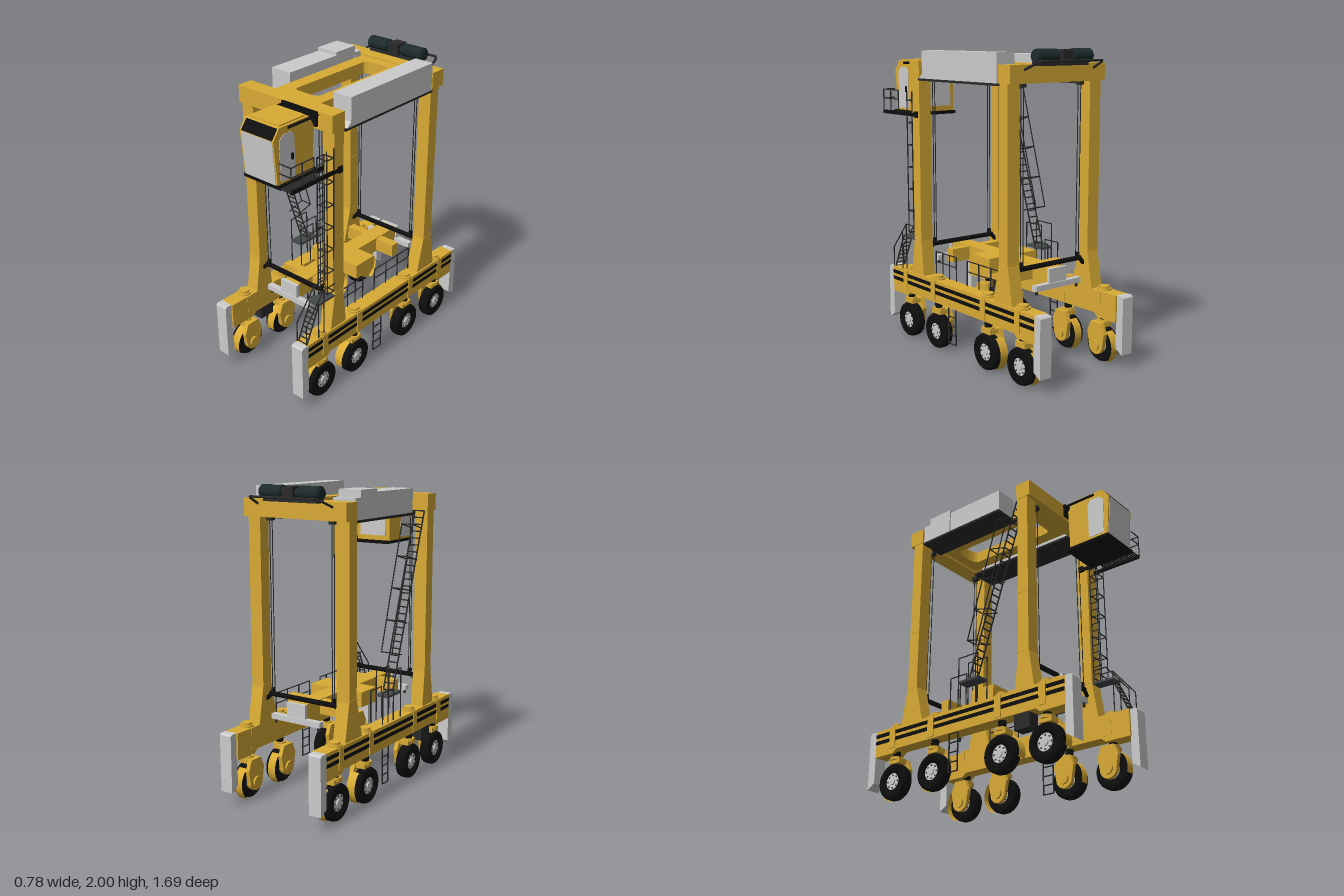
import * as THREE from 'three';

const mat = (color, double) => new THREE.MeshStandardMaterial({ color, side: double ? THREE.DoubleSide : THREE.FrontSide });
const yellow = mat(0xd9ab35), yellowThin = mat(0xd9ab35, true), grey = mat(0xcccccc), dark = mat(0x2a2a2a);
const black = mat(0x0e0e0e), engineMat = mat(0x1d2b2c), steel = mat(0x44484a);

export function createModel() {
  const root = new THREE.Group();
  const add = (name, geo, m, parent = root) => {
    const mesh = new THREE.Mesh(geo, m);
    mesh.name = name;
    parent.add(mesh);
    return mesh;
  };
  const group = (name) => {
    const g = new THREE.Group();
    g.name = name;
    root.add(g);
    return g;
  };
  // box from its limits on each axis
  const box = (name, x0, x1, y0, y1, z0, z1, m, parent) =>
    add(name, new THREE.BoxGeometry(x1 - x0, y1 - y0, z1 - z0)
      .translate((x0 + x1) / 2, (y0 + y1) / 2, (z0 + z1) / 2), m, parent);
  // side profile given as [z, y] points, extruded from x0 to x1
  const profile = (name, pts, x0, x1, m, parent) => {
    const shape = new THREE.Shape(pts.map(([z, y]) => new THREE.Vector2(z, y)));
    const geo = new THREE.ExtrudeGeometry(shape, { depth: x1 - x0, bevelEnabled: false });
    return add(name, geo.rotateY(-Math.PI / 2).translate(x1, 0, 0), m, parent);
  };
  const rod = (name, a, b, r, m = dark, parent = root) => {
    const p = new THREE.Vector3(...a), q = new THREE.Vector3(...b), d = q.clone().sub(p);
    const mesh = add(name, new THREE.CylinderGeometry(r, r, d.length(), 6), m, parent);
    mesh.position.copy(p).lerp(q, 0.5);
    mesh.quaternion.setFromUnitVectors(new THREE.Vector3(0, 1, 0), d.normalize());
    return mesh;
  };
  const path = (name, pts, r, m, parent) => {
    for (let i = 1; i < pts.length; i++) rod(name, pts[i - 1], pts[i], r, m, parent);
  };
  // two rails from a to b, the second moved by offset, with n rungs
  const ladder = (name, a, b, offset, n, r = 0.004) => {
    const g = group(name), shift = (p) => p.map((v, i) => v + offset[i]);
    rod('ladderRail', a, b, r, dark, g);
    rod('ladderRail', shift(a), shift(b), r, dark, g);
    for (let i = 0; i <= n; i++) {
      const p = a.map((v, k) => v + (b[k] - v) * i / n);
      rod('rung', p, shift(p), r * 0.9, dark, g);
    }
  };
  const cylX = (name, r, x0, x1, y, z, m, parent, n = 28) =>
    add(name, new THREE.CylinderGeometry(r, r, x1 - x0, n).rotateZ(Math.PI / 2)
      .translate((x0 + x1) / 2, y, z), m, parent);
  const cylY = (name, r, x, y0, y1, z, m, parent) =>
    add(name, new THREE.CylinderGeometry(r, r, y1 - y0, 20).translate(x, (y0 + y1) / 2, z), m, parent);
  // orders the two x limits for a side of the machine
  const span = (s, a, b) => (s > 0 ? [a, b] : [-b, -a]);

  // wheel with swivel fork, hub and fender
  const tyre = [[0.055, -0.03], [0.1, -0.037], [0.113, -0.03], [0.118, -0.015], [0.118, 0.015],
    [0.113, 0.03], [0.1, 0.037], [0.055, 0.03], [0.055, -0.03]].map(([x, y]) => new THREE.Vector2(x, y));
  const wheel = (s, z) => {
    const g = group('wheelUnit'), x = s * 0.34, y = 0.118;
    add('tyre', new THREE.LatheGeometry(tyre, 36).rotateZ(Math.PI / 2).translate(x, y, z), black, g);
    cylX('rim', 0.06, x - 0.024, x + 0.024, y, z, grey, g);
    cylX('hub', 0.022, x - 0.034, x + 0.034, y, z, grey, g, 16);
    for (let i = 0; i < 8; i++) {
      const a = i * Math.PI / 4;
      cylX('wheelNut', 0.006, x - 0.028, x + 0.028, y + 0.042 * Math.sin(a), z + 0.042 * Math.cos(a), steel, g, 6);
    }
    // rounded inner arm reaching from the axle to the swivel
    const arm = new THREE.Shape();
    arm.absarc(z, y, 0.06, Math.PI, Math.PI * 2);
    arm.lineTo(z + 0.075, 0.2);
    arm.lineTo(z + 0.045, 0.27);
    arm.lineTo(z - 0.045, 0.27);
    arm.lineTo(z - 0.075, 0.2);
    const [, x1] = span(s, 0.268, 0.297);
    add('forkArm', new THREE.ExtrudeGeometry(arm, { depth: 0.029, bevelEnabled: false })
      .rotateY(-Math.PI / 2).translate(x1, 0, 0), yellow, g);
    cylX('axleCap', 0.035, ...span(s, 0.255, 0.29), y, z, yellow, g);
    box('forkTop', ...span(s, 0.268, 0.365), 0.238, 0.27, z - 0.045, z + 0.045, yellow, g);
    add('fender', new THREE.CylinderGeometry(0.127, 0.127, 0.06, 20, 1, true, 0, 1.9)
      .rotateZ(Math.PI / 2).rotateX(z > 0 ? 0.3 : -2.2).translate(x - s * 0.025, y, z), yellowThin, g);
    cylY('swivel', 0.025, x, 0.265, 0.33, z, black, g);
    cylY('swivelCollar', 0.04, x, 0.26, 0.28, z, yellow, g);
    cylY('swivelCap', 0.046, x, 0.47, 0.486, z, yellow, g);
    cylY('swivelCapTop', 0.034, x, 0.486, 0.502, z, yellow, g);
    box('swivelBand', ...span(s, 0.283, 0.391), 0.335, 0.475, z - 0.025, z + 0.025, yellow, g);
  };

  for (const s of [1, -1]) {
    // side beam with its stripes
    profile('sideBeam', [[0.73, 0.475], [0.73, 0.3], [0.55, 0.3], [0.52, 0.325], [-0.6, 0.325], [-0.63, 0.3],
      [-0.79, 0.3], [-0.79, 0.475]], ...span(s, 0.285, 0.385), yellow);
    for (const y of [0.395, 0.44]) box('stripe', ...span(s, 0.38, 0.388), y - 0.012, y + 0.012, -0.785, 0.725, black);
    // end bumpers
    profile('frontBumper', [[0.725, 0.475], [0.725, 0.13], [0.78, 0.095], [0.78, 0.465], [0.77, 0.475]],
      ...span(s, 0.297, 0.385), grey);
    profile('rearBumper', [[-0.785, 0.475], [-0.785, 0.13], [-0.842, 0.095], [-0.842, 0.465], [-0.83, 0.475]],
      ...span(s, 0.297, 0.385), grey);
    for (const z of [0.57, 0.24, -0.30, -0.635]) wheel(s, z);
    // columns flared at the foot
    profile('frontColumn', [[0.505, 0.47], [0.467, 0.72], [0.467, 1.9], [0.387, 1.9], [0.387, 0.72], [0.362, 0.47]],
      ...span(s, 0.285, 0.375), yellow);
    profile('rearColumn', [[-0.39, 0.47], [-0.45, 0.72], [-0.45, 1.9], [-0.53, 1.9], [-0.53, 0.72], [-0.575, 0.47]],
      ...span(s, 0.285, 0.375), yellow);
    for (const z of [0.427, -0.49]) {
      for (const y of [0.72, 1.12])
        box('columnBand', ...span(s, 0.283, 0.377), y - 0.006, y + 0.006, z - 0.043, z + 0.043, yellow);
      // hoist ropes and guide brackets
      for (const dz of [-0.012, 0.012]) rod('hoistRope', [s * 0.232, 0.68, z + dz], [s * 0.232, 1.81, z + dz], 0.003);
      cylY('ropeSocket', 0.014, s * 0.235, 0.66, 0.71, z, black);
      box('topSheave', ...span(s, 0.215, 0.25), 1.775, 1.8, z - 0.02, z + 0.02, dark);
      rod('guideBracket', [s * 0.25, 0.67, z], [s * 0.29, 0.63, z], 0.014, black);
    }
  }

  // portal top: cross beams and a centre frame with a rounded opening
  box('frontCrossBeam', -0.378, 0.378, 1.8, 1.91, 0.382, 0.488, yellow);
  box('rearCrossBeam', -0.378, 0.384, 1.8, 1.91, -0.563, -0.45, yellow);
  const frame = new THREE.Shape([[-0.19, -0.39], [0.18, -0.39], [0.18, 0.46], [-0.19, 0.46]].map((p) => new THREE.Vector2(...p)));
  const hole = new THREE.Path();
  hole.moveTo(-0.095, -0.29);
  hole.lineTo(-0.095, 0.35);
  hole.quadraticCurveTo(-0.075, 0.38, 0, 0.38);
  hole.quadraticCurveTo(0.075, 0.38, 0.095, 0.35);
  hole.lineTo(0.095, -0.27);
  hole.quadraticCurveTo(0.085, -0.3, 0.06, -0.3);
  hole.lineTo(-0.06, -0.3);
  hole.quadraticCurveTo(-0.085, -0.3, -0.095, -0.27);
  frame.holes.push(hole);
  add('topFrame', new THREE.ExtrudeGeometry(frame, { depth: 0.08, bevelEnabled: false, curveSegments: 8 })
    .rotateX(-Math.PI / 2).translate(0, 1.82, 0), yellow);

  // equipment housings and walkways
  box('leftWalkway', 0.18, 0.385, 1.785, 1.8, -0.455, 0.385, dark);
  profile('leftHousing', [[0.37, 1.8], [0.335, 1.83], [0.335, 1.98], [-0.44, 1.98], [-0.44, 1.8]], 0.252, 0.386, grey);
  box('rightWalkway', -0.37, -0.19, 1.785, 1.8, -0.455, 0.225, dark);
  box('rightWalkwayEdge', -0.215, -0.19, 1.785, 1.8, 0.22, 0.385, dark);
  box('rightHousingFront', -0.358, -0.205, 1.8, 1.955, -0.21, 0.22, grey);
  box('rightHousingRear', -0.365, -0.208, 1.8, 1.975, -0.395, -0.212, grey);
  box('coolerBox', -0.365, -0.205, 1.8, 1.93, -0.45, -0.395, grey);

  // rear power drums and guard rail
  for (const [a, b] of [[-0.225, -0.06], [0.045, 0.22]]) {
    cylX('drum', 0.043, a + 0.01, b - 0.01, 1.957, -0.585, engineMat);
    cylX('drumEnd', 0.034, a, b, 1.957, -0.585, engineMat);
  }
  box('driveBlock', -0.045, 0.035, 1.918, 1.995, -0.63, -0.54, dark);
  cylX('driveShaft', 0.026, -0.1, 0.1, 1.957, -0.585, dark);
  box('drumMount', -0.2, 0.2, 1.9, 1.925, -0.6, -0.54, dark);
  path('rearRail', [[-0.28, 1.88, -0.56], [-0.262, 1.92, -0.65], [-0.24, 1.93, -0.675], [0.24, 1.93, -0.675],
    [0.258, 1.92, -0.65], [0.275, 1.88, -0.56]], 0.008);

  // spreader with wide centre, narrow arms and end beams
  box('spreaderCentre', -0.2, 0.2, 0.56, 0.66, -0.13, 0.05, yellow);
  box('spreaderArm', -0.058, 0.058, 0.55, 0.655, -0.56, 0.49, yellow);
  box('spreaderCrosspiece', -0.2, 0.2, 0.56, 0.65, 0.27, 0.33, yellow);
  box('spreaderCrosspiece', -0.2, 0.2, 0.56, 0.65, -0.39, -0.33, yellow);
  for (const z of [0.48, -0.555]) {
    box('spreaderEndPlate', -0.07, 0.07, 0.56, 0.66, z - 0.012, z + 0.012, grey);
    box('spreaderEndBeam', -0.185, 0.185, 0.535, 0.57, z - 0.02, z + 0.02, grey);
    for (const x of [-0.165, 0.165]) cylY('twistlock', 0.009, x, 0.51, 0.54, z, dark);
  }
  for (const z of [0.427, -0.49]) cylX('hoistBar', 0.016, -0.26, 0.26, 0.67, z, black, root, 12);

  // cabin
  const cabin = group('cabin');
  profile('cabinShell', [[0.82, 1.56], [0.843, 1.84], [0.795, 1.905], [0.56, 1.905], [0.522, 1.84], [0.53, 1.56]],
    0.002, 0.265, yellow, cabin);
  profile('windscreen', [[0.815, 1.565], [0.837, 1.835], [0.845, 1.835], [0.824, 1.565]], 0.012, 0.255, grey, cabin);
  profile('sunVisor', [[0.838, 1.842], [0.846, 1.842], [0.8, 1.9], [0.792, 1.9]], 0.015, 0.255, black, cabin);
  const pane = [[0.795, 1.58], [0.8, 1.83], [0.765, 1.86], [0.7, 1.86], [0.68, 1.83], [0.68, 1.58]];
  profile('leftWindow', pane, 0.262, 0.268, grey, cabin);
  profile('rightWindow', pane, -0.001, 0.005, grey, cabin);
  box('rearWindow', 0.03, 0.235, 1.6, 1.82, 0.519, 0.526, grey, cabin);
  box('doorHandle', 0.265, 0.275, 1.69, 1.73, 0.695, 0.71, black, cabin);
  box('roofHatch', 0.02, 0.25, 1.905, 1.913, 0.57, 0.78, yellow, cabin);
  box('cabinHanger', -0.005, 0.27, 1.82, 1.91, 0.488, 0.505, black, cabin);
  for (const x of [0.0, 0.268]) rod('hangerBar', [x, 1.89, 0.47], [x, 1.89, 0.73], 0.009, black, cabin);
  box('cabinFloor', 0.0, 0.28, 1.545, 1.565, 0.5, 0.825, black, cabin);

  // grated platform beside the cabin
  for (const x of [0.283, 0.372]) box('platformEdge', x - 0.007, x + 0.007, 1.545, 1.568, 0.41, 0.825, black);
  for (let i = 0; i < 18; i++) box('gratingBar', 0.285, 0.37, 1.552, 1.56, 0.565 + i * 0.015, 0.571 + i * 0.015, dark);
  box('platformClamp', 0.27, 0.385, 1.54, 1.58, 0.405, 0.44, black);
  for (const y of [1.65, 1.71]) path('platformRail', [[0.375, y, 0.64], [0.375, y, 0.825], [0.285, y, 0.825]], 0.004);
  for (const z of [0.64, 0.735, 0.825]) rod('platformPost', [0.375, 1.56, z], [0.375, 1.71, z], 0.004);

  // caged ladder in front of the left front column
  ladder('frontLadder', [0.3, 0.72, 0.535], [0.3, 1.65, 0.535], [0, 0, -0.06], 18);
  for (const z of [0.475, 0.535]) rod('cageBar', [0.375, 0.75, z], [0.375, 1.71, z], 0.004);
  for (let i = 0; i < 7; i++) {
    const y = 0.75 + i * 0.15;
    path('cageHoop', [[0.3, y, 0.535], [0.375, y, 0.535], [0.375, y, 0.475], [0.3, y, 0.475]], 0.004);
  }
  box('ladderLanding', 0.295, 0.375, 0.705, 0.718, 0.465, 0.62, steel);
  ladder('frontStairs', [0.3, 0.475, 0.72], [0.3, 0.71, 0.61], [0.07, 0, 0], 8, 0.005);
  for (const x of [0.298, 0.376])
    path('stairRail', [[x, 0.475, 0.73], [x, 0.61, 0.73], [x, 0.8, 0.57], [x, 0.8, 0.47]], 0.004);
  for (const z of [0.62, 0.57]) rod('stairPost', [0.376, 0.475, z], [0.376, z > 0.6 ? 0.74 : 0.8, z], 0.004);

  // long sloping ladder on the right side, with cage
  ladder('slopingLadder', [-0.36, 1.8, 0.37], [-0.36, 0.67, -0.005], [0.07, 0, 0], 26, 0.005);
  for (const x of [-0.365, -0.285]) {
    rod('slopingCageRail', [x, 1.72, 0.21], [x, 0.93, -0.025], 0.004);
    for (let i = 0; i < 5; i++) {
      const y = 1.69 - i * 0.2, z = 0.333 - i * 0.0595;
      rod('slopingCageLink', [x, y, z], [x, y + 0.035, z - 0.125], 0.004);
      if (x < -0.3) rod('slopingCageHoop', [x, y + 0.035, z - 0.125], [-0.285, y + 0.035, z - 0.125], 0.004);
    }
  }
  box('rightLanding', -0.375, -0.285, 0.64, 0.655, -0.09, 0.075, steel);
  for (const x of [-0.375, -0.285]) {
    path('landingRail', [[x, 0.48, 0.07], [x, 0.81, 0.07], [x, 0.81, -0.085], [x, 0.48, -0.085]], 0.004);
    path('lowerLandingRail', [[x, 0.48, -0.02], [x, 0.69, -0.02], [x, 0.69, -0.15], [x, 0.48, -0.15]], 0.004);
  }

  // deck railings on the left beam
  for (const [a, b] of [[0.33, 0.1], [-0.02, -0.39]]) {
    for (const y of [0.57, 0.64]) rod('deckRail', [0.295, y, a], [0.295, y, b], 0.004);
    for (let i = 0; i < 4; i++) {
      const z = a + (b - a) * i / 3;
      rod('deckPost', [0.295, 0.47, z], [0.295, 0.64, z], 0.004);
    }
  }

  // boarding ladders and tool box below the beams
  ladder('leftBoardingLadder', [0.375, 0.325, 0.08], [0.375, 0.08, 0.08], [0, 0, -0.08], 4, 0.005);
  ladder('rightBoardingLadder', [-0.375, 0.325, -0.08], [-0.375, 0.08, -0.08], [0, 0, -0.07], 4, 0.005);
  box('toolBox', -0.375, -0.295, 0.23, 0.326, 0.355, 0.467, dark);
  return root;
}
